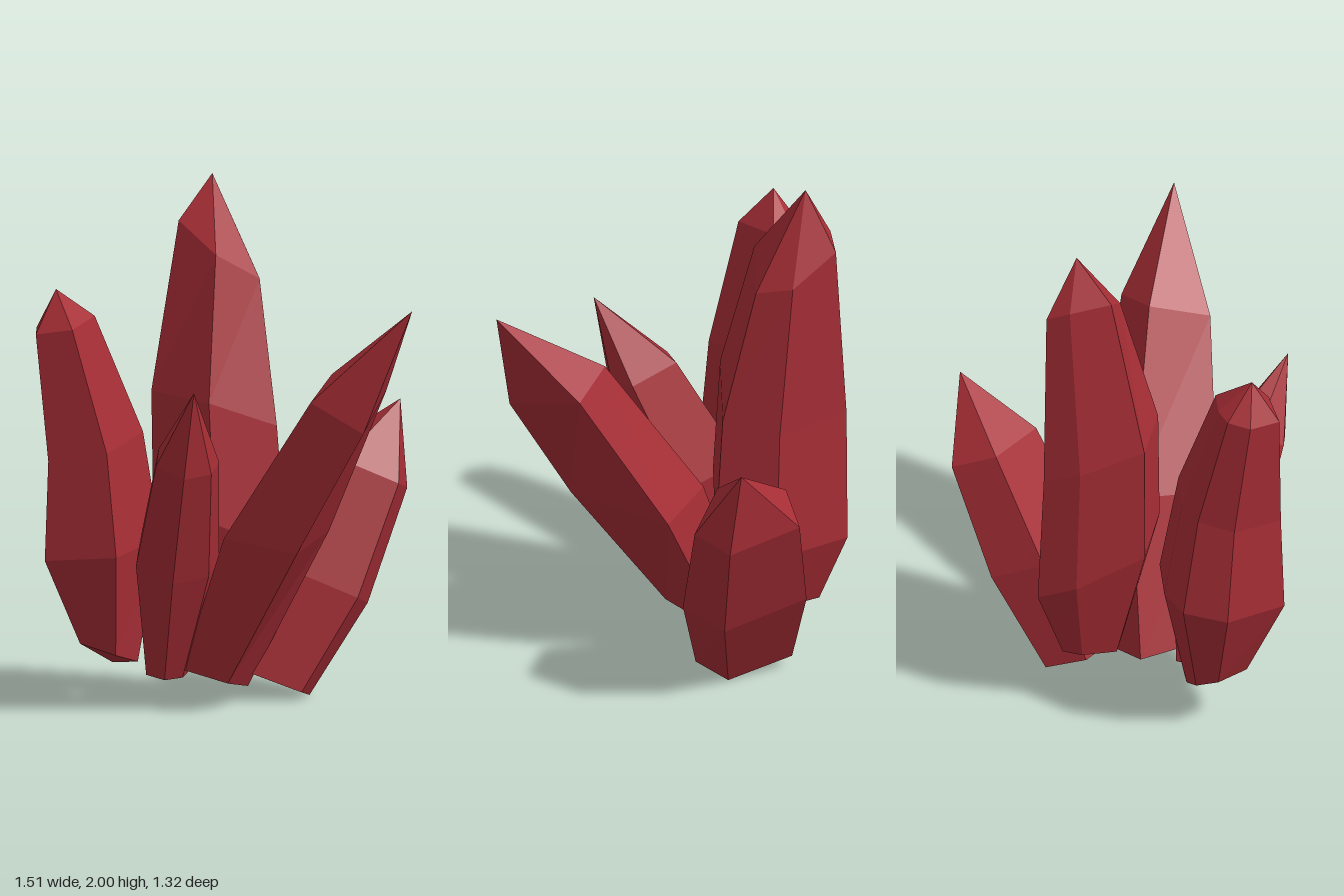
import * as THREE from 'three';

// Faceted crystal: one outline lofted through tilted rings, closed by a root point and a tip.
// outline: corners as [dx, dz], running from +x towards +z
// ring: [x, y, z, scale, tiltX, tiltZ], the tilts being the drop in height per unit of x and z
function crystalGeometry({ outline, root, rings, tip }) {
  const sides = outline.length;
  const pos = [...root];
  for (const [x, y, z, scale, tiltX, tiltZ] of rings) {
    for (const [ox, oz] of outline) {
      const dx = ox * scale, dz = oz * scale;
      pos.push(x + dx, y - dx * tiltX - dz * tiltZ, z + dz);
    }
  }
  pos.push(...tip);
  const last = pos.length / 3 - 1;
  const at = (i, j) => 1 + i * sides + (j % sides);
  const index = [];
  for (let j = 0; j < sides; j++) {
    index.push(0, at(0, j), at(0, j + 1));
    for (let i = 0; i < rings.length - 1; i++) {
      const a = at(i, j), b = at(i, j + 1), c = at(i + 1, j), d = at(i + 1, j + 1);
      index.push(a, c, b, b, c, d);
    }
    index.push(at(rings.length - 1, j), last, at(rings.length - 1, j + 1));
  }
  const indexed = new THREE.BufferGeometry();
  indexed.setAttribute('position', new THREE.Float32BufferAttribute(pos, 3));
  indexed.setIndex(index);
  const geometry = indexed.toNonIndexed();
  geometry.computeVertexNormals();
  return geometry;
}

const CRYSTALS = {
  // Tall upright shard at the back
  centreCrystal: {
    outline: [[0.24, -0.01], [0.2, 0.23], [-0.11, 0.27], [-0.26, -0.02], [-0.08, -0.22], [0.07, -0.27]],
    root: [0.03, 0.18, -0.41],
    rings: [
      [0.03, 0.23, -0.41, 0.5, 0, 0],
      [0.03, 0.6, -0.39, 0.99, 0.4, -0.2],
      [0.01, 1.1, -0.4, 0.93, 0.35, -0.1],
      [0.05, 1.73, -0.45, 0.6, 0.6, 0.35],
    ],
    tip: [0.04, 2.0, -0.49],
  },
  // Tall shard on the model's right
  rightCrystal: {
    outline: [[0.26, -0.05], [-0.02, 0.24], [-0.25, 0.07], [-0.16, -0.17], [0, -0.24], [0.13, -0.19]],
    root: [-0.44, 0.16, -0.27],
    rings: [
      [-0.46, 0.2, -0.27, 0.5, 0.35, 0],
      [-0.49, 0.6, -0.27, 1, -0.1, 0],
      [-0.52, 1.0, -0.26, 0.82, -0.2, 0],
      [-0.63, 1.47, -0.29, 0.51, -0.2, 0],
    ],
    tip: [-0.66, 1.61, -0.3],
  },
  // Slim shard in front
  slimCrystal: {
    outline: [[0.17, 0.02], [0.09, 0.13], [-0.07, 0.17], [-0.17, 0.03], [-0.1, -0.13], [0.05, -0.19]],
    root: [-0.27, 0.11, -0.14],
    rings: [
      [-0.27, 0.13, -0.14, 0.5, 0, 0.2],
      [-0.27, 0.58, -0.03, 1, 0, 0.4],
      [-0.3, 0.99, 0.18, 0.76, 0, 0.4],
    ],
    tip: [-0.33, 1.28, 0.36],
  },
  // Broad four-sided shard leaning forward
  frontCrystal: {
    outline: [[0.24, -0.14], [-0.03, 0.26], [-0.24, 0.01], [-0.03, -0.25]],
    root: [-0.05, 0.1, -0.1],
    rings: [
      [-0.07, 0.1, -0.1, 0.62, 0.3, 0],
      [0.1, 0.67, 0.15, 1, 0.05, 0.1],
      [0.285, 1.22, 0.44, 0.72, 0.1, 0.5],
    ],
    tip: [0.45, 1.6, 0.66],
  },
  // Short five-sided shard leaning to the model's left
  leftCrystal: {
    outline: [[0.18, 0.05], [0.08, 0.22], [-0.16, 0.14], [-0.17, -0.17], [0.02, -0.25]],
    root: [0.2, 0.06, -0.25],
    rings: [
      [0.2, 0.06, -0.26, 0.78, 0.4, 0],
      [0.4, 0.43, -0.28, 1, 0.45, 0],
      [0.6, 0.85, -0.31, 0.85, 0.45, 0],
    ],
    tip: [0.74, 1.12, -0.31],
  },
};

export function createModel() {
  const group = new THREE.Group();
  group.name = 'crystalCluster';
  const red = new THREE.MeshStandardMaterial({ color: 0xa82e36 });
  red.name = 'crystalRed';
  for (const [name, spec] of Object.entries(CRYSTALS)) {
    const mesh = new THREE.Mesh(crystalGeometry(spec), red);
    mesh.name = name;
    group.add(mesh);
  }
  return group;
}
